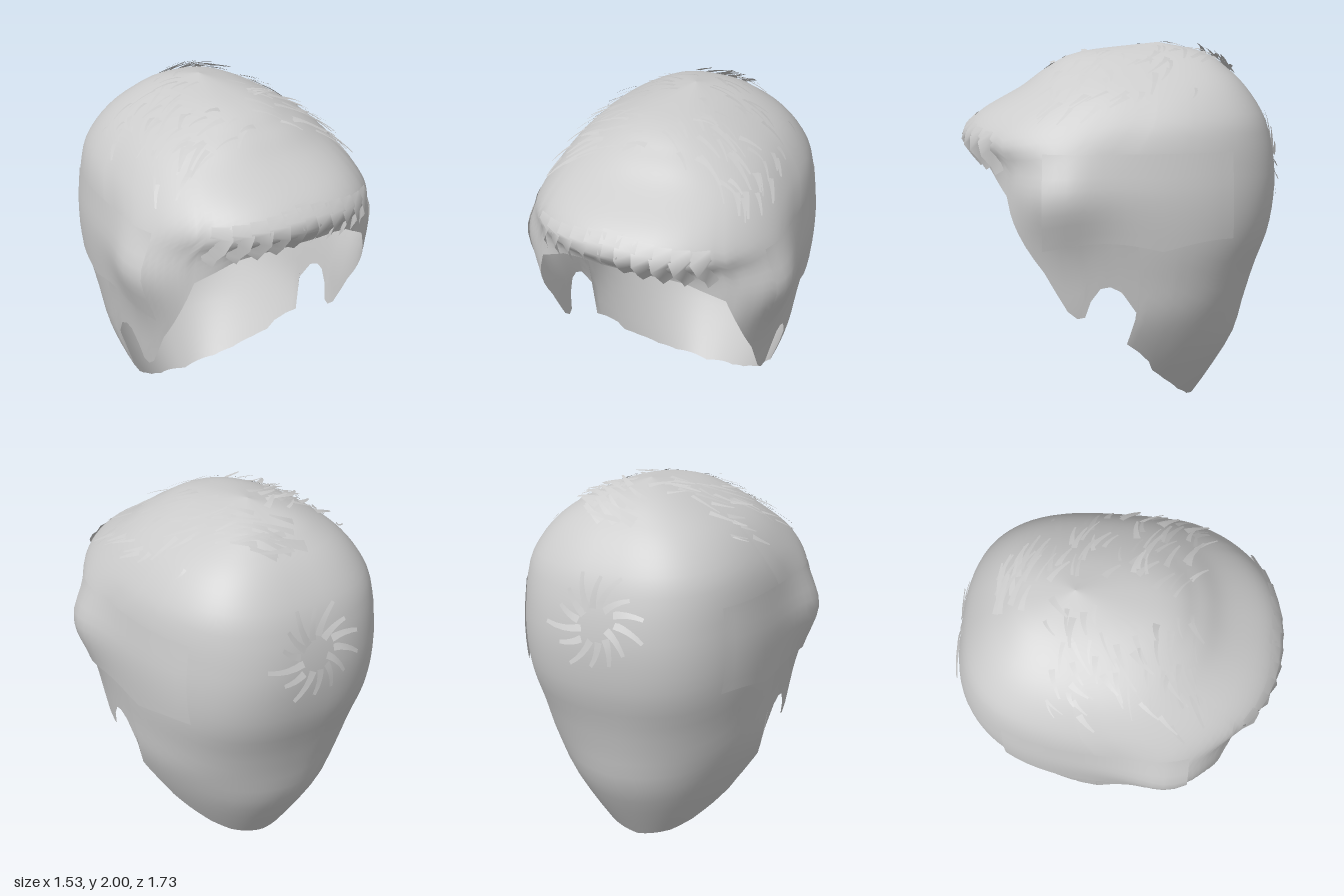
import * as THREE from 'three';

// Horizontal sections: y, half width, z of widest point, front z, back z
const SECTIONS = [
  [0, 0.30, 0.05, 0.60, -0.40], [0.2, 0.43, 0.08, 0.66, -0.53],
  [0.4, 0.54, 0.10, 0.76, -0.64], [0.6, 0.61, 0.03, 0.83, -0.69],
  [0.8, 0.64, 0.05, 0.84, -0.745], [1.0, 0.67, 0.10, 0.82, -0.81],
  [1.24, 0.695, 0.20, 0.745, -0.84], [1.4, 0.68, 0.15, 0.77, -0.83],
  [1.5, 0.665, 0.10, 0.86, -0.81], [1.62, 0.62, 0.0, 0.785, -0.77],
  [1.76, 0.52, -0.05, 0.55, -0.68], [1.86, 0.39, -0.1, 0.41, -0.58],
  [1.95, 0.20, -0.15, 0.21, -0.44], [2, 0, -0.2, -0.2, -0.2],
];

// Lower edge on one side, front to back: z, y
const HEM = [
  [0.76, 1.39], [0.74, 1.38], [0.70, 1.35], [0.67, 1.31], [0.61, 1.24], [0.59, 1.15],
  [0.55, 1.05], [0.42, 0.85], [0.3, 0.64], [0.25, 0.6], [0.21, 0.61], [0.18, 0.7],
  [0.13, 0.77], [0.08, 0.78], [0.02, 0.75], [-0.06, 0.63], [-0.01, 0.45], [-0.07, 0.4],
  [-0.13, 0.33], [-0.15, 0.27], [-0.22, 0.2], [-0.3, 0.11], [-0.36, 0.05], [-0.4, 0],
];

// Roundness of the front and back halves; the nape is rounder than the crown
const N_FRONT = 2.3;
const nBack = (y) => 2.2 + 0.6 * THREE.MathUtils.smoothstep(y, 0.5, 1.2);

// Smoothly interpolated section at height y
function section(y) {
  y = Math.min(2, Math.max(0, y));
  let i = 0;
  while (i < SECTIONS.length - 2 && y > SECTIONS[i + 1][0]) i++;
  const A = SECTIONS[i], B = SECTIONS[i + 1];
  const P = SECTIONS[Math.max(0, i - 1)], Q = SECTIONS[Math.min(SECTIONS.length - 1, i + 2)];
  const h = B[0] - A[0], t = (y - A[0]) / h, t2 = t * t, t3 = t2 * t;
  return [1, 2, 3, 4].map((k) => {
    const mA = (B[k] - P[k]) / (B[0] - P[0]) * h, mB = (Q[k] - A[k]) / (Q[0] - A[0]) * h;
    return (2 * t3 - 3 * t2 + 1) * A[k] + (t3 - 2 * t2 + t) * mA
      + (3 * t2 - 2 * t3) * B[k] + (t3 - t2) * mB;
  });
}

const outward = (v) => v.clone().sub(new THREE.Vector3(0, 1, 0)).normalize();

// Point on the head at angle a (0 front, PI/2 left, PI back) and height y
function surface(a, y, lift = 0) {
  const [w, zc, zf, zb] = section(y);
  const s = Math.sin(a), c = Math.cos(a);
  const p = 2 / (c > 0 ? N_FRONT : nBack(y));
  const x = Math.sign(s) * Math.max(0, w) * Math.abs(s) ** p;
  const z = zc + (c > 0 ? zf - zc : zb - zc) * Math.abs(c) ** p;
  // the hair flares out beside the temples
  const flare = 1 + 0.1 * Math.exp(-(((z - 0.36) / 0.25) ** 2) - ((y - 1.24) / 0.22) ** 2);
  const v = new THREE.Vector3(x * flare, y, z);
  return v.addScaledVector(outward(v), lift);
}

// Angle that reaches a given z, or a given x, at height y
function angleAtZ(z, y) {
  const [, zc, zf, zb] = section(y);
  const r = Math.min(1, z > zc ? (z - zc) / (zf - zc) : (z - zc) / (zb - zc));
  return z > zc ? Math.acos(r ** (N_FRONT / 2)) : Math.PI - Math.acos(r ** (nBack(y) / 2));
}
function angleAtX(x, y, back) {
  const r = Math.min(1, Math.abs(x) / section(y)[0]);
  const a = Math.sign(x) * Math.asin(r ** ((back ? nBack(y) : N_FRONT) / 2));
  return back ? Math.PI - a : a;
}

// Point on the upper head straight above x, z, found by bisection
function topPoint(x, z, lift) {
  let lo = 1.3, hi = 2;
  for (let i = 0; i < 24; i++) {
    const y = (lo + hi) / 2, [w, zc, zf, zb] = section(y);
    const n = z > zc ? N_FRONT : nBack(y);
    const r = (z - zc) / ((z > zc ? zf : zb) - zc);
    if ((Math.abs(x) / w) ** n + Math.abs(r) ** n < 1) lo = y; else hi = y;
  }
  const v = new THREE.Vector3(x, lo, z);
  return v.addScaledVector(outward(v), lift);
}

function makeGeometry(pos, index) {
  const g = new THREE.BufferGeometry();
  g.setAttribute('position', new THREE.Float32BufferAttribute(pos, 3));
  g.setIndex(index);
  g.computeVertexNormals();
  return g;
}

// Open hair cap with the shaped lower edge
function capGeometry() {
  const half = [[0, HEM[0][1]]];
  for (let i = 1; i < HEM.length; i++) {
    const [last, y0] = half[half.length - 1], [z, y] = HEM[i];
    const target = i === HEM.length - 1 ? Math.PI : angleAtZ(z, y);
    const a = Math.max(target, last + 0.004);
    const n = Math.max(1, Math.ceil((a - last) / 0.08));
    for (let k = 1; k <= n; k++) half.push([last + (a - last) * k / n, y0 + (y - y0) * k / n]);
  }
  const mirrored = half.slice(1, -1).reverse().map(([a, y]) => [2 * Math.PI - a, y]);
  const columns = [...half, ...mirrored], n = columns.length, rows = 36;
  const pos = [], index = [];
  for (let r = 0; r <= rows; r++) {
    const t = 1 - (1 - r / rows) ** 1.8;
    for (const [a, hem] of columns) pos.push(...surface(a, hem + (2 - hem) * t).toArray());
  }
  for (let r = 0; r < rows; r++) for (let c = 0; c < n; c++) {
    const d = (c + 1) % n, A = r * n + c, B = r * n + d;
    index.push(A, B, B + n);
    if (r < rows - 1) index.push(A, B + n, A + n);
  }
  return makeGeometry(pos, index);
}

// Overlapping layer of hair above the ear, lifted at its lower edge
function sideLayerGeometry(side) {
  const cols = 16, rows = 8, pos = [], index = [];
  for (let r = 0; r <= rows; r++) for (let c = 0; c <= cols; c++) {
    const u = c / cols, v = r / rows;
    const low = 0.97 + 0.05 * Math.abs(Math.sin(u * 5)), y = low + (1.47 - low) * v;
    const a = angleAtZ(0.42 - 0.97 * u, y);
    pos.push(...surface(side * a, y, 0.016 - 0.012 * v).toArray());
    if (r === rows || c === cols) continue;
    const A = r * (cols + 1) + c, B = A + 1, D = A + cols + 1, C = D + 1;
    index.push(...(side > 0 ? [A, B, C, A, C, D] : [A, C, B, A, D, C]));
  }
  return makeGeometry(pos, index);
}

// Flat ribbons along lists of points, narrowing toward the last point
function ribbonGeometry(ribbons) {
  const pos = [], index = [];
  for (const { points, width, tip } of ribbons) {
    const base = pos.length / 3, m = points.length;
    points.forEach((p, i) => {
      const along = points[Math.min(m - 1, i + 1)].clone().sub(points[Math.max(0, i - 1)]);
      const k = i / (m - 1), w = width * (1 - k + k * tip) / 2;
      const side = along.cross(outward(p)).normalize().multiplyScalar(w);
      pos.push(...p.clone().sub(side).toArray(), ...p.clone().add(side).toArray());
      if (i < m - 1) {
        const b = base + 2 * i;
        index.push(b, b + 1, b + 3, b, b + 3, b + 2);
      }
    });
  }
  return makeGeometry(pos, index);
}

export function createModel() {
  const model = new THREE.Group();
  const hair = new THREE.MeshStandardMaterial({ color: 0xcccccc, side: THREE.DoubleSide });
  hair.name = 'hair grey';
  const add = (name, geometry) => {
    const mesh = new THREE.Mesh(geometry, hair);
    mesh.name = name;
    model.add(mesh);
  };
  let seed = 7;
  const rnd = (lo, hi) => {
    seed = (seed * 16807) % 2147483647;
    return lo + (hi - lo) * seed / 2147483647;
  };
  const steps = [0, 0.25, 0.5, 0.75, 1];

  add('hairCap', capGeometry());
  add('leftSideLayer', sideLayerGeometry(1));
  add('rightSideLayer', sideLayerGeometry(-1));

  // Broad overlapping locks along the fringe
  const fringe = [];
  for (let i = -5; i <= 5; i++) {
    const x = i * 0.092, top = 1.62 - Math.abs(i) * 0.012, low = 1.4 - 0.0016 * i * i;
    const points = steps.map((k) => {
      const y = top + (low - top) * k, lift = 0.004 + 0.008 * Math.sin(Math.PI * k);
      return surface(angleAtX(x * (0.9 + 0.12 * k), y, false), y, lift);
    });
    fringe.push({ points, width: 0.11, tip: 0.95 });
  }
  add('fringeLocks', ribbonGeometry(fringe));

  // Loose strands over the top combed sideways, and a thicker tuft behind
  const strands = [];
  const strand = (x, z, dx, dz, width, rise) => strands.push({
    points: steps.map((k) => topPoint(x + dx * k, z + dz * k + 0.03 * k * k, 0.004 + rise * k)),
    width, tip: 0.3,
  });
  for (let i = 0; i < 110; i++) {
    const side = i % 2 ? 1 : -1, x = side * rnd(0.02, 0.56), z = rnd(-0.4, 0.44);
    const reach = Math.abs(x) > 0.42 ? 0.05 : rnd(0.07, 0.16);
    strand(x, z, side * reach, rnd(-0.04, 0.08), rnd(0.015, 0.04), rnd(0, 0.035));
  }
  for (let i = 0; i < 16; i++) {
    strand(rnd(-0.15, 0.15), rnd(-0.6, -0.44), rnd(0.1, 0.2), rnd(-0.02, 0.1), 0.04, 0.03);
  }
  add('topStrands', ribbonGeometry(strands));

  // Radiating whorl at the back of the crown
  const whorl = [];
  for (let i = 0; i < 14; i++) {
    const f = i / 14 * Math.PI * 2, start = rnd(0.06, 0.13), reach = rnd(0.2, 0.28);
    const points = steps.map((k) => {
      const r = start + (reach - start) * k, g = f + 0.3 * k, y = 1.4 + r * Math.sin(g);
      return surface(angleAtX(r * Math.cos(g), y, true), y, 0.004 + 0.015 * k);
    });
    whorl.push({ points, width: 0.04, tip: 0.5 });
  }
  add('crownWhorl', ribbonGeometry(whorl));
  return model;
}
